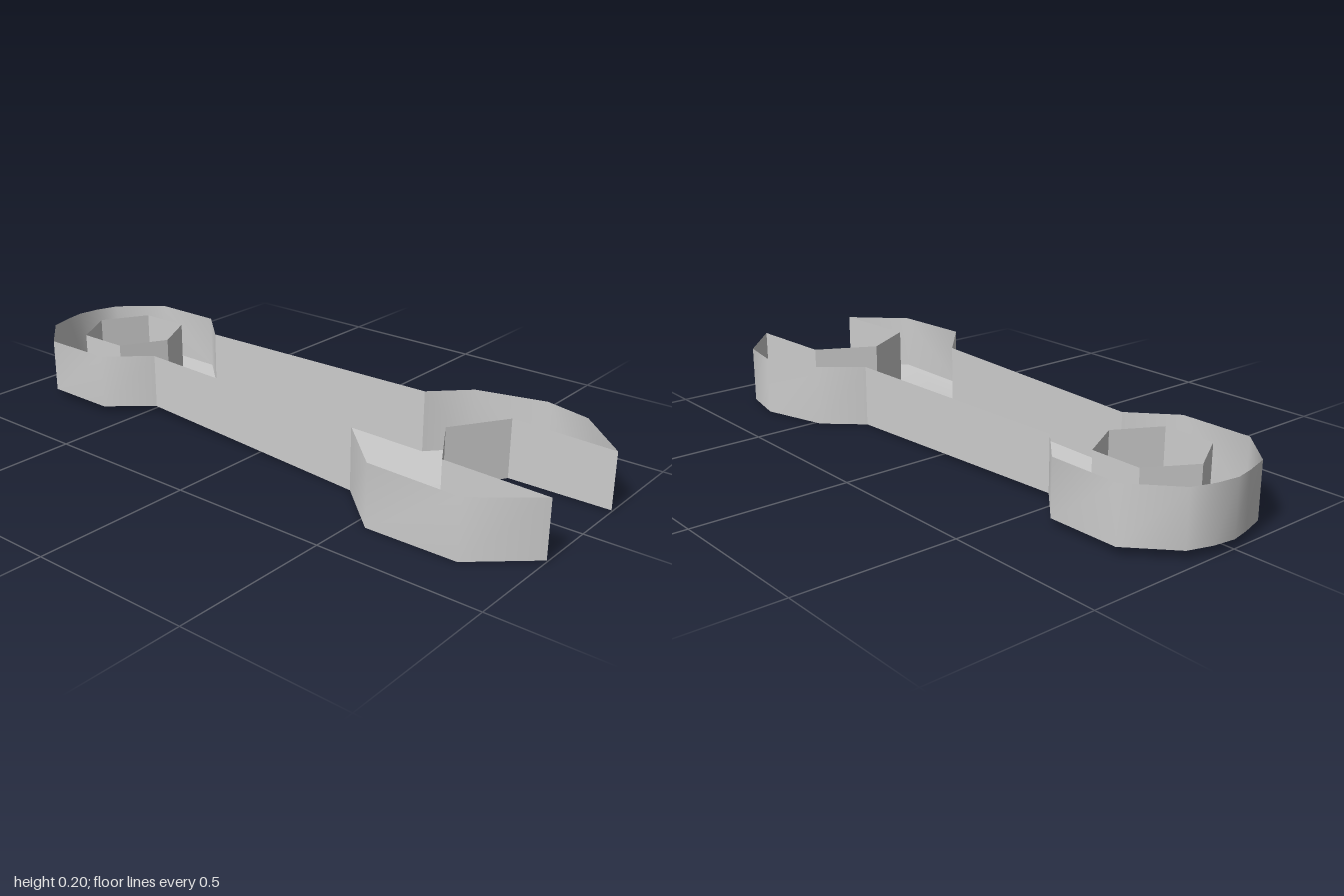
import * as THREE from 'three';

// Underside and rim heights along the tool, interpolated over x
const ramp = (stops) => (x) => {
  for (let i = 1; i < stops.length; i++) {
    const [x0, y0] = stops[i - 1], [x1, y1] = stops[i];
    if (x <= x1 || i === stops.length - 1) return y0 + (y1 - y0) * (x - x0) / (x1 - x0);
  }
};
const bottomY = ramp([[-1, 0.03], [-0.47, 0.025], [0.37, 0.003], [1, 0.008]]);
const topY = ramp([[-1, 0.2], [0.37, 0.2], [1, 0.185]]);

// Outline sections as [x, z], counterclockwise seen from above
const ringOuter = [[-0.47, -0.145], [-0.6, -0.26], [-0.835, -0.26], [-0.965, -0.145], [-0.99, -0.07],
  [-1, 0], [-0.988, 0.06], [-0.965, 0.14], [-0.835, 0.255], [-0.6, 0.255], [-0.47, 0.14]];
const frontSide = [[-0.47, 0.14], [0.37, 0.19]];
const frontJaw = [[0.37, 0.19], [0.54, 0.345], [0.83, 0.345], [1, 0.195]];
const jawInner = [[1, 0.195], [0.675, 0.195], [0.568, 0.015], [0.675, -0.165], [1, -0.165]];
const backJaw = [[1, -0.165], [0.835, -0.315], [0.69, -0.345], [0.48, -0.28], [0.375, -0.165]];
const backSide = [[0.375, -0.165], [-0.47, -0.145]];
const hexHole = [[-0.885, 0], [-0.8, -0.145], [-0.632, -0.145], [-0.553, 0],
  [-0.632, 0.143], [-0.8, 0.143], [-0.885, 0]];

export function createModel() {
  const group = new THREE.Group();
  const steel = new THREE.MeshStandardMaterial({ color: 0xcccccc, side: THREE.DoubleSide });
  steel.name = 'steel';

  const add = (name, geometry) => {
    const mesh = new THREE.Mesh(geometry, steel);
    mesh.name = name;
    group.add(mesh);
  };

  // Thin upright wall following a path
  const wall = (name, path, smooth) => {
    const positions = [], index = [];
    path.forEach(([x, z], i) => {
      positions.push(x, bottomY(x), z, x, topY(x), z);
      const a = i * 2;
      if (i < path.length - 1) index.push(a, a + 2, a + 3, a, a + 3, a + 1);
    });
    let geometry = new THREE.BufferGeometry();
    geometry.setAttribute('position', new THREE.Float32BufferAttribute(positions, 3));
    geometry.setIndex(index);
    if (!smooth) geometry = geometry.toNonIndexed();
    geometry.computeVertexNormals();
    add(name, geometry);
  };

  wall('ringOuterWall', ringOuter, true);
  wall('handleFrontWall', frontSide, false);
  wall('frontJawWall', frontJaw, true);
  wall('jawMouthWall', jawInner, false);
  wall('backJawWall', backJaw, true);
  wall('handleBackWall', backSide, false);
  wall('hexSocketWall', hexHole, false);

  // Floor plate with the socket cut out; the top of the tool stays open
  const toPoint = ([x, z]) => new THREE.Vector2(x, -z);
  const outline = [ringOuter, frontSide, frontJaw, jawInner, backJaw, backSide]
    .flatMap((section) => section.slice(0, -1));
  const shape = new THREE.Shape(outline.map(toPoint));
  shape.holes.push(new THREE.Path(hexHole.slice(0, -1).map(toPoint)));
  let floor = new THREE.ShapeGeometry(shape).rotateX(-Math.PI / 2);
  const p = floor.attributes.position;
  for (let i = 0; i < p.count; i++) p.setY(i, bottomY(p.getX(i)));
  floor.computeVertexNormals();
  add('floorPlate', floor);

  return group;
}
